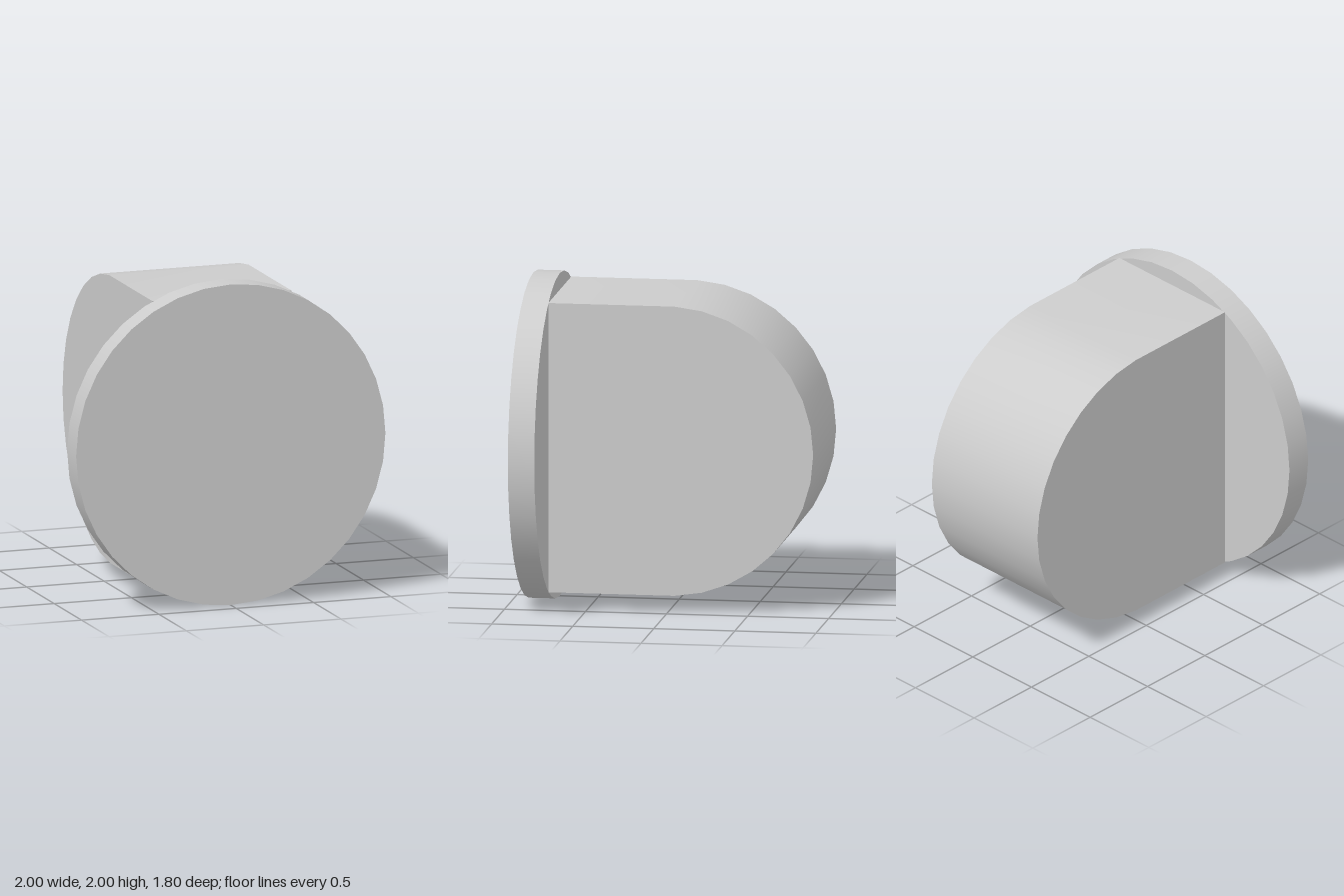
import * as THREE from 'three';
import { toCreasedNormals } from 'three/addons/utils/BufferGeometryUtils.js';

export function createModel() {
  const model = new THREE.Group();
  model.name = 'roundedPlug';

  const grey = new THREE.MeshStandardMaterial({ color: 0xcccccc });
  grey.name = 'light grey';

  const frontZ = 0.9;
  const discBackZ = 0.737;
  const halfWidth = 0.45;
  const radius = 0.897;
  const centreY = 1;

  // Round front plate, 36 sides
  const discDepth = frontZ - discBackZ;
  const discGeometry = new THREE.CylinderGeometry(1, 1, discDepth, 36);
  discGeometry.rotateX(Math.PI / 2);
  const disc = new THREE.Mesh(discGeometry, grey);
  disc.name = 'frontDisc';
  disc.position.set(0, centreY, (frontZ + discBackZ) / 2);
  model.add(disc);

  // Body side profile: straight behind the plate, rounded at the back
  const start = THREE.MathUtils.degToRad(2.6);
  const steps = 16;
  const top = radius * Math.cos(start);
  const profile = [new THREE.Vector2(discBackZ, top)];
  for (let i = 0; i <= steps; i++) {
    const a = start + (i / steps) * (Math.PI - 2 * start);
    profile.push(new THREE.Vector2(-radius * Math.sin(a), radius * Math.cos(a)));
  }
  profile.push(new THREE.Vector2(discBackZ, -top));

  // Extrude the profile across the width
  const bodyGeometry = new THREE.ExtrudeGeometry(new THREE.Shape(profile), {
    depth: halfWidth * 2,
    bevelEnabled: false,
  });
  bodyGeometry.translate(0, 0, -halfWidth);
  bodyGeometry.rotateY(-Math.PI / 2);
  const body = new THREE.Mesh(toCreasedNormals(bodyGeometry, Math.PI / 6), grey);
  body.name = 'roundedBody';
  body.position.y = centreY;
  model.add(body);

  return model;
}
